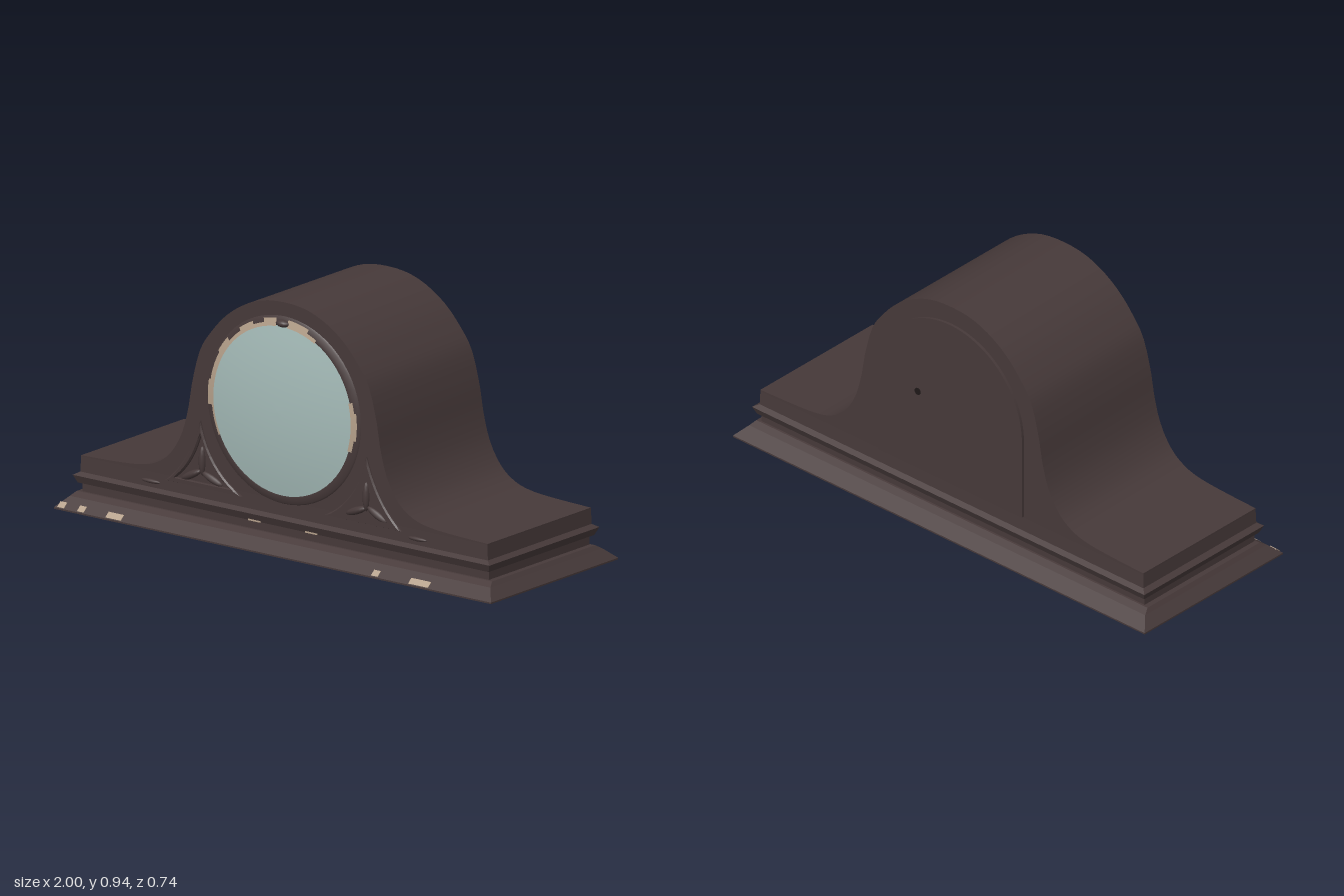
import * as THREE from 'three';
import { toCreasedNormals } from 'three/addons/utils/BufferGeometryUtils.js';

const flat = (name, color, side = THREE.FrontSide) => {
  const m = new THREE.MeshStandardMaterial({ color, side });
  m.name = name;
  return m;
};
const V2 = (x, y) => new THREE.Vector2(x, y);

// Rectangular moulding: rows of [y, halfWidth, halfDepth], closed at both ends
function moulding(rows) {
  const pos = [];
  const corner = ([y, w, d], k) => [[w, y, d], [w, y, -d], [-w, y, -d], [-w, y, d]][k % 4];
  const quad = (a, b, c, d) => pos.push(...a, ...b, ...c, ...a, ...c, ...d);
  for (let i = 0; i < rows.length - 1; i++) {
    for (let k = 0; k < 4; k++) {
      quad(corner(rows[i], k), corner(rows[i], k + 1), corner(rows[i + 1], k + 1), corner(rows[i + 1], k));
    }
  }
  const lo = rows[0], hi = rows[rows.length - 1];
  quad(corner(lo, 3), corner(lo, 2), corner(lo, 1), corner(lo, 0));
  quad(corner(hi, 0), corner(hi, 1), corner(hi, 2), corner(hi, 3));
  const g = new THREE.BufferGeometry();
  g.setAttribute('position', new THREE.Float32BufferAttribute(pos, 3));
  g.computeVertexNormals();
  return g;
}

// Profile of [radius, z] turned around the dial axis; angles in degrees from +x
function turned(profile, segments, from = 0, to = 360) {
  const rad = Math.PI / 180;
  return new THREE.LatheGeometry(profile.map(p => V2(...p)), segments, (from + 90) * rad, (to - from) * rad)
    .rotateX(Math.PI / 2).translate(0, 0.532, 0);
}

// Curved triangle beside the dial, s = side
function spandrelPath(PathType, s, scale) {
  const cx = 0.37, cy = 0.245;
  const p = (x, y) => [s * (cx + (x - cx) * scale), cy + (y - cy) * scale];
  const path = new PathType();
  path.moveTo(...p(0.19, 0.175));
  path.quadraticCurveTo(...p(0.34, 0.25), ...p(0.38, 0.425));
  path.quadraticCurveTo(...p(0.43, 0.26), ...p(0.54, 0.175));
  path.closePath();
  return path;
}

export function createModel() {
  const group = new THREE.Group();
  const wood = flat('dark wood', 0x463939);
  const glass = flat('dial glass', 0xa3b9b6);
  const tan = flat('worn gilt', 0xb5a08a, THREE.DoubleSide);
  const dark = flat('keyhole dark', 0x1e1818);
  const add = (name, geometry, material) => {
    const mesh = new THREE.Mesh(geometry, material);
    mesh.name = name;
    group.add(mesh);
    return mesh;
  };

  // Stepped base
  add('base', moulding([
    [0, 1, 0.37], [0.006, 1, 0.37], [0.045, 0.962, 0.325], [0.06, 0.95, 0.3],
    [0.061, 0.93, 0.293], [0.094, 0.93, 0.293], [0.095, 0.94, 0.307],
    [0.124, 0.953, 0.32], [0.136, 0.932, 0.302], [0.192, 0.93, 0.3],
  ]), wood);

  // Hump-shaped case
  const half = [[0.93, 0.197], [0.76, 0.203], [0.65, 0.213], [0.58, 0.235], [0.52, 0.28], [0.47, 0.36],
    [0.44, 0.46], [0.42, 0.57], [0.385, 0.69], [0.335, 0.765], [0.27, 0.835], [0.19, 0.89], [0.1, 0.925]];
  const outline = [...half, [0, 0.935], ...half.map(([x, y]) => [-x, y]).reverse()];
  const curve = new THREE.SplineCurve(outline.map(p => V2(...p))).getPoints(72);
  const caseShape = new THREE.Shape([V2(0.93, 0.192), ...curve, V2(-0.93, 0.192)]);
  const caseGeo = new THREE.ExtrudeGeometry(caseShape, { depth: 0.6, bevelEnabled: false }).translate(0, 0, -0.3);
  add('case', toCreasedNormals(caseGeo, 0.6), wood);

  // Domed glass and its bezel
  const dome = [];
  for (let i = 0; i <= 8; i++) {
    const r = 0.318 * (1 - i / 8);
    dome.push([r, 0.341 - 0.03 * (r / 0.318) ** 2]);
  }
  add('glass', turned(dome, 64), glass);
  add('bezel', turned([[0.352, 0.299], [0.346, 0.306], [0.322, 0.312], [0.312, 0.308]], 64), wood);

  // Worn gilt left on the bezel: [from, to, outer radius]
  const patches = [[-18, -10, 0.33], [-10, 8, 0.338], [8, 15, 0.33], [62, 70, 0.328], [70, 86, 0.343],
    [95, 105, 0.343], [105, 114, 0.328], [114, 126, 0.34], [126, 138, 0.328], [138, 150, 0.343],
    [150, 170, 0.336], [170, 186, 0.345], [186, 206, 0.324]];
  for (const [from, to, r] of patches) {
    const z = q => 0.3135 - (q - 0.316) * 0.23;
    add('giltPatch', turned([[r, z(r)], [0.314, z(0.314)]], 5, from, to), tan);
  }

  // Small catch above the dial
  const catchMesh = add('bezelCatch', new THREE.SphereGeometry(1, 12, 8), wood);
  catchMesh.scale.set(0.03, 0.014, 0.02);
  catchMesh.position.set(0, 0.858, 0.308);

  // Carved spandrels with a raised frame, leaf and side scroll
  for (const s of [1, -1]) {
    const frame = spandrelPath(THREE.Shape, s, 1);
    frame.holes.push(spandrelPath(THREE.Path, s, 0.72));
    add('spandrelFrame', new THREE.ExtrudeGeometry(frame, {
      depth: 0.008, bevelThickness: 0.006, bevelSize: 0.005, bevelOffset: -0.005, bevelSegments: 1, curveSegments: 10,
    }).translate(0, 0, 0.298), wood);
    for (const [x, y, turn, len] of [[0.375, 0.275, 0, 0.055], [0.33, 0.215, 1.2, 0.05], [0.425, 0.215, -1.1, 0.05]]) {
      const leaf = add('spandrelLeaf', new THREE.SphereGeometry(1, 10, 8), wood);
      leaf.scale.set(0.014, len, 0.014);
      leaf.position.set(s * x, y, 0.3);
      leaf.rotation.z = s * -turn;
    }
    const scroll = add('scroll', new THREE.SphereGeometry(1, 12, 8), wood);
    scroll.scale.set(0.045, 0.008, 0.01);
    scroll.position.set(s * 0.61, 0.158, 0.3);
  }

  // Arched back door with keyhole
  const door = new THREE.Shape();
  door.moveTo(-0.35, 0.196);
  door.lineTo(0.35, 0.196);
  door.lineTo(0.35, 0.515);
  door.absarc(0, 0.515, 0.35, 0, Math.PI);
  door.closePath();
  const doorGeo = new THREE.ExtrudeGeometry(door, { depth: 0.012, bevelEnabled: false, curveSegments: 32 });
  add('backDoor', toCreasedNormals(doorGeo.translate(0, 0, -0.311), 0.6), wood);
  add('keyhole', new THREE.CylinderGeometry(0.014, 0.014, 0.004, 12).rotateX(Math.PI / 2)
    .translate(0.155, 0.52, -0.312), dark);

  // Gilt flecks along the front foot
  for (const [x, w] of [[-0.97, 0.03], [-0.88, 0.03], [-0.73, 0.07], [0.465, 0.03], [0.665, 0.09]]) {
    const fleck = add('footFleck', new THREE.BoxGeometry(w, 0.004, 0.026), tan);
    fleck.position.set(x, 0.0165, 0.358);
    fleck.rotation.x = 0.714;
  }
  // Gilt flecks in the groove
  for (const s of [1, -1]) {
    add('grooveFleck', new THREE.BoxGeometry(0.055, 0.006, 0.004).translate(s * 0.13, 0.097, 0.308), tan);
  }
  return group;
}
